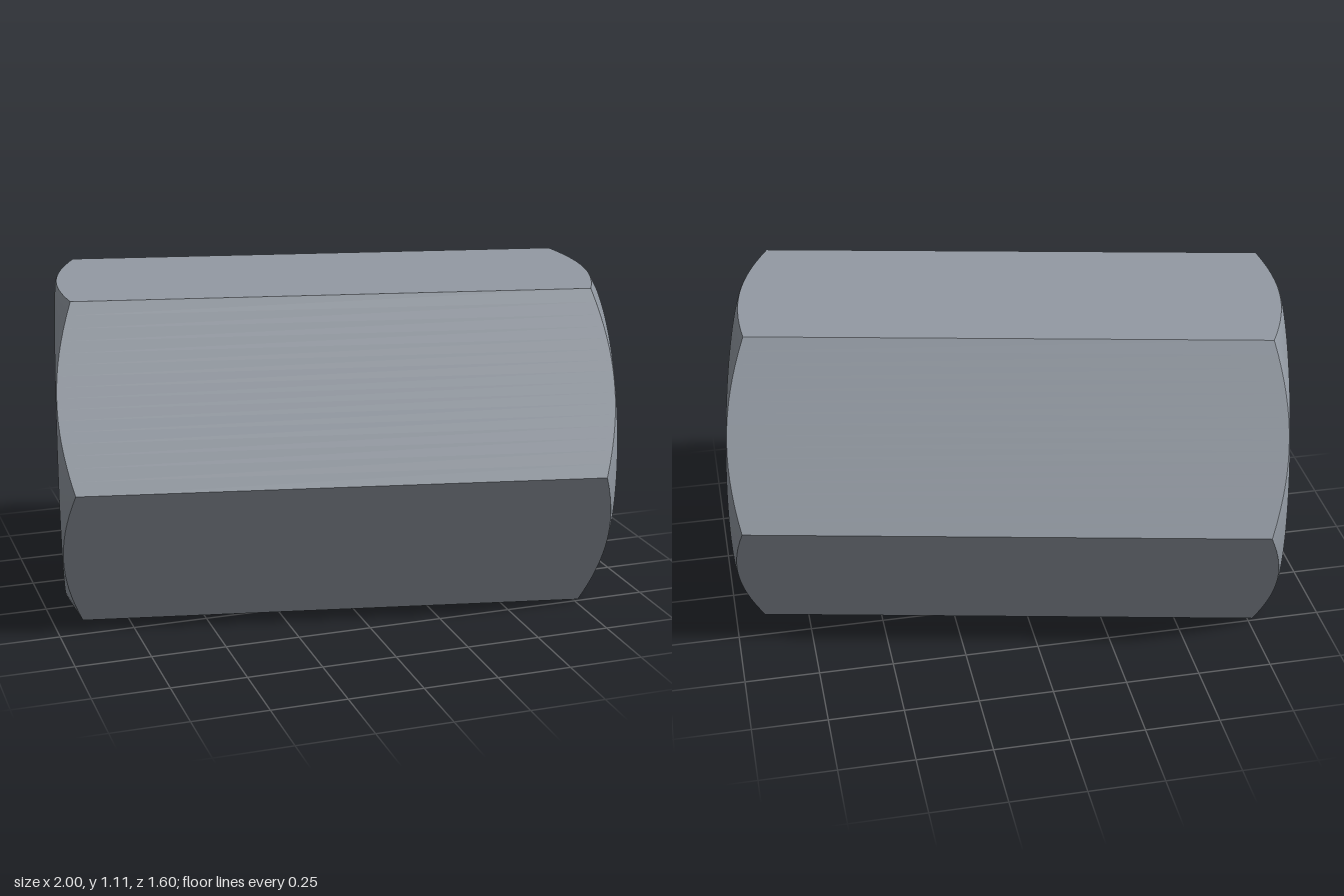
import * as THREE from 'three';
import { toCreasedNormals } from 'three/addons/utils/BufferGeometryUtils.js';

const SEG = 96;          // steps around the axis (multiple of 12 so hex corners are hit)
const HALF = 0.907;      // half length along the axis
const APOTHEM = 0.5525;  // centre to flat
const MOUTH = 0.31;      // countersink radius at the end faces
const MINOR = 0.25, MAJOR = 0.305, PITCH = 0.126;
const CHAMFER_R = 0.547, CHAMFER_SLOPE = 0.6, SINK_DEPTH = 0.06;

// Skin a grid of rows; each row maps an angle to [x along axis, radius]
function loft(rows, crease) {
  const pos = [], idx = [];
  for (const row of rows) {
    for (let j = 0; j <= SEG; j++) {
      const t = (j / SEG) * Math.PI * 2;
      const [x, r] = row(t);
      pos.push(x, r * Math.cos(t), r * Math.sin(t));
    }
  }
  const point = (i) => new THREE.Vector3().fromArray(pos, i * 3);
  const addTriangle = (a, b, c) => {
    const area = point(b).sub(point(a)).cross(point(c).sub(point(a))).length();
    if (area > 1e-9) idx.push(a, b, c);
  };
  for (let i = 0; i < rows.length - 1; i++) {
    for (let j = 0; j < SEG; j++) {
      const a = i * (SEG + 1) + j, c = a + SEG + 1;
      addTriangle(a, a + 1, c);
      addTriangle(a + 1, c + 1, c);
    }
  }
  const geo = new THREE.BufferGeometry();
  geo.setAttribute('position', new THREE.Float32BufferAttribute(pos, 3));
  geo.setIndex(idx);
  return toCreasedNormals(geo, crease);
}

// Hexagon radius with flats facing up and down
function hexRadius(t) {
  const sector = Math.PI / 3;
  return APOTHEM / Math.cos(t - Math.round(t / sector) * sector);
}

// Hex prism whose corners are cut by a cone at both ends
function bodyGeometry() {
  const hexEdge = (side) => (t) => {
    const r = hexRadius(t);
    return [side * (HALF - (r - CHAMFER_R) * CHAMFER_SLOPE), r];
  };
  return loft([
    () => [-HALF, MOUTH],
    () => [-HALF, CHAMFER_R],
    hexEdge(-1),
    hexEdge(1),
    () => [HALF, CHAMFER_R],
    () => [HALF, MOUTH],
  ], 0.75);
}

// Helical thread, opened by a countersink at both ends
function boreGeometry() {
  const profile = [[0, 0], [0.12, 0], [0.25, 0], [0.4, 0.5], [0.55, 1], [0.7, 1], [0.85, 0.5]];
  const turns = Math.ceil(HALF / PITCH) + 1;
  const rows = [];
  for (let k = turns; k >= -turns - 1; k--) {
    for (const [phase, depth] of [...profile].reverse()) {
      rows.push((t) => {
        const x = THREE.MathUtils.clamp((k + phase + t / (Math.PI * 2)) * PITCH, -HALF, HALF);
        const sink = MOUTH - (HALF - Math.abs(x)) * (MOUTH - MINOR) / SINK_DEPTH;
        const thread = MINOR + depth * (MAJOR - MINOR);
        return [x, Math.max(thread, sink)];
      });
    }
  }
  return loft(rows, 0.5);
}

export function createModel() {
  const steel = new THREE.MeshStandardMaterial({ color: 0x939aa3 });
  steel.name = 'steel grey';

  const nut = new THREE.Group();
  nut.name = 'couplingNut';
  const body = new THREE.Mesh(bodyGeometry(), steel);
  body.name = 'hexBody';
  const bore = new THREE.Mesh(boreGeometry(), steel);
  bore.name = 'threadedBore';
  nut.add(body, bore);

  // Lies on a flat, turned slightly about the vertical
  nut.rotation.y = -THREE.MathUtils.degToRad(12);
  nut.position.y = APOTHEM;

  const model = new THREE.Group();
  model.name = 'model';
  model.add(nut);
  return model;
}
